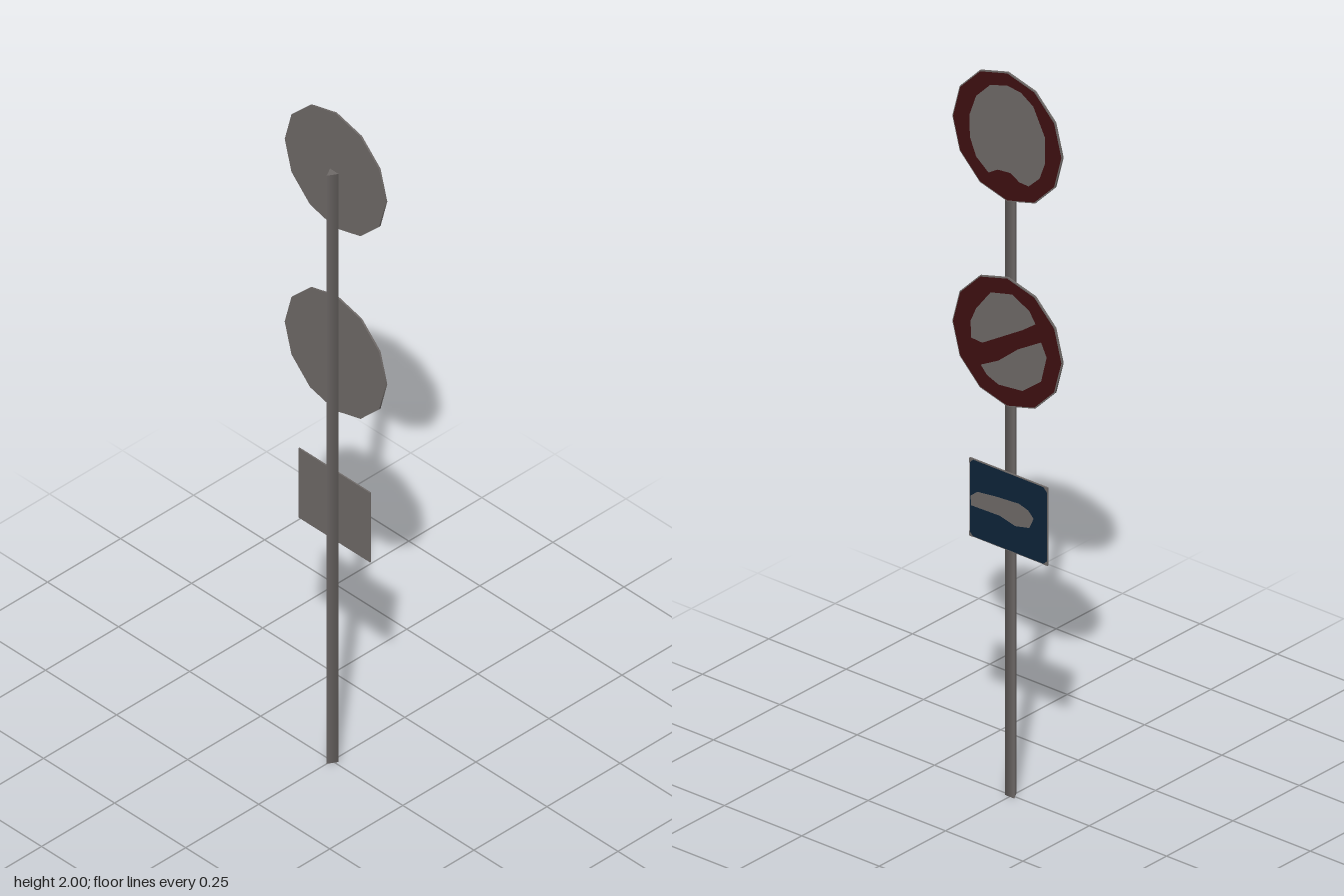
import * as THREE from 'three';

const mat = (name, color, side = THREE.FrontSide) => {
  const m = new THREE.MeshStandardMaterial({ color, side });
  m.name = name;
  return m;
};

export function createModel() {
  const model = new THREE.Group();
  model.name = 'roadSignPost';

  const metal = mat('metalGrey', 0x6e6967);
  const red = mat('darkRed', 0x3e0f11);
  const blue = mat('darkBlue', 0x0d2338);

  const add = (parent, name, geometry, material, x = 0, y = 0, z = 0) => {
    const mesh = new THREE.Mesh(geometry, material);
    mesh.name = name;
    mesh.position.set(x, y, z);
    parent.add(mesh);
    return mesh;
  };
  const patch = (pts) =>
    new THREE.ShapeGeometry(new THREE.Shape(pts.map(([x, y]) => new THREE.Vector2(x, y))));

  // Triangular post, one edge towards the front
  const H = 1.823, R = 0.178;
  add(model, 'post', new THREE.CylinderGeometry(0.0175, 0.0175, H, 3), metal, 0, H / 2, 0);

  // Each sign is turned so that its painted side faces the back
  const sign = (name, y, z) => {
    const g = new THREE.Group();
    g.name = name;
    g.position.set(0, y, z);
    g.rotation.y = Math.PI;
    model.add(g);
    return g;
  };

  // Twelve-sided signs with a red face and pale areas
  const roundSign = (name, y, areas) => {
    const g = sign(name, y, -0.0145);
    const disc = new THREE.CylinderGeometry(R, R, 0.005, 12).rotateX(Math.PI / 2);
    add(g, 'disc', disc, metal);
    const face = new THREE.CircleGeometry(R - 0.003, 12);
    add(g, 'redFace', face, red, 0, 0, 0.003);
    areas.forEach((pts) => add(g, 'paleArea', patch(pts), metal, 0, 0, 0.0036));
  };

  roundSign('upperRoundSign', H, [[
    [0, 0.142], [-0.055, 0.125], [-0.1, 0.08], [-0.122, 0.02], [-0.12, -0.04],
    [-0.1, -0.087], [-0.06, -0.118], [-0.03, -0.1], [0.01, -0.096], [0.04, -0.112],
    [0.07, -0.113], [0.105, -0.08], [0.122, -0.035], [0.122, 0.04], [0.085, 0.112], [0.045, 0.137],
  ]]);

  // Lower round sign has a slanting bar between its two pale areas
  roundSign('lowerRoundSign', 1.257, [
    [[-0.116, -0.026], [-0.118, 0.02], [-0.1, 0.06], [-0.053, 0.12], [0.016, 0.137],
      [0.072, 0.11], [0.092, 0.08], [0.05, 0.05], [0, 0.02], [-0.08, -0.028]],
    [[-0.085, -0.09], [-0.028, -0.06], [0.035, -0.008], [0.11, 0.036], [0.128, 0],
      [0.11, -0.072], [0.05, -0.118], [-0.028, -0.126], [-0.065, -0.112]],
  ]);

  // Rectangular blue plate with a pale direction mark
  const W = 0.252, PH = 0.215;
  const plate = sign('directionPlate', 0.7875, -0.0105);
  add(plate, 'plate', new THREE.BoxGeometry(W, PH, 0.004), metal);
  add(plate, 'blueFace', new THREE.PlaneGeometry(W - 0.004, PH - 0.004), blue, 0, 0, 0.0025);
  add(plate, 'directionMark', patch([
    [-0.12, -0.022], [-0.122, 0.004], [-0.1, 0.022], [-0.04, 0.029], [0.035, 0.034],
    [0.065, 0.025], [0.082, 0.008], [0.068, -0.022], [0.022, -0.032], [-0.028, -0.02],
  ]), metal, 0, 0, 0.0031);

  // Bare corners of the plate
  const corner = patch([[0, 0], [0.014, 0], [0, 0.014]]);
  for (let i = 0; i < 4; i++) {
    const sx = i === 0 || i === 3 ? -1 : 1, sy = i < 2 ? -1 : 1;
    const c = add(plate, 'bareCorner', corner, metal, sx * W / 2, sy * PH / 2, 0.0031);
    c.rotation.z = i * Math.PI / 2;
  }
  return model;
}
